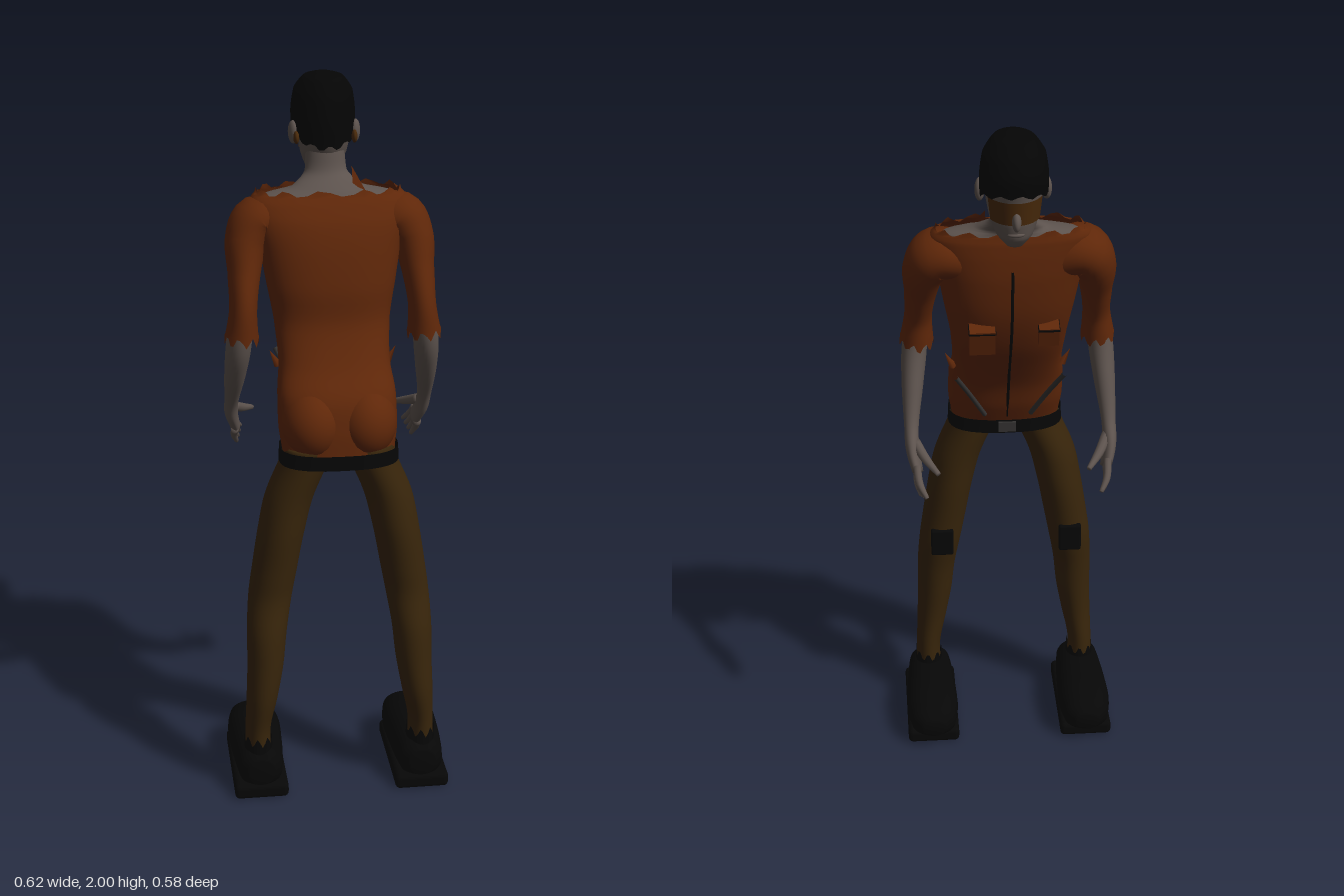
import * as THREE from 'three';
import { RoundedBoxGeometry } from 'three/addons/geometries/RoundedBoxGeometry.js';

const V = (x, y, z) => new THREE.Vector3(x, y, z);
const mat = (name, color, side = THREE.FrontSide) => {
  const m = new THREE.MeshStandardMaterial({ color, side });
  m.name = name;
  return m;
};

// Smooth skin through stations [x, y, z, ra, rb].
// flat: level rings (ra along x, rb along z); otherwise rings square to the path, ra along ref.
// power: squareness of the rings; jag: ragged last ring; open: no end caps.
function loft(stations, { flat = false, ref = V(0, 0, 1), sides = 32, steps = 5, power = 2, jag = 0, open = false } = {}) {
  const centre = new THREE.CatmullRomCurve3(stations.map(s => V(s[0], s[1], s[2])));
  const radii = new THREE.CatmullRomCurve3(stations.map(s => V(s[3], s[4], 0)));
  const rows = (stations.length - 1) * steps;
  const pos = [], idx = [];
  for (let i = 0; i <= rows; i++) {
    const u = i / rows, c = centre.getPoint(u), r = radii.getPoint(u);
    const t = flat ? V(0, Math.sign(stations.at(-1)[1] - stations[0][1]), 0) : centre.getTangent(u);
    const a = flat ? V(1, 0, 0) : ref.clone().addScaledVector(t, -ref.dot(t)).normalize();
    const b = a.clone().cross(t);
    for (let j = 0; j < sides; j++) {
      const w = j / sides * Math.PI * 2, cs = Math.cos(w), sn = Math.sin(w);
      const p = c.clone()
        .addScaledVector(a, r.x * Math.sign(cs) * Math.abs(cs) ** (2 / power))
        .addScaledVector(b, r.y * Math.sign(sn) * Math.abs(sn) ** (2 / power));
      if (i === rows && jag) p.addScaledVector(t, jag * Math.sin(j * 1.6));
      pos.push(p.x, p.y, p.z);
    }
  }
  for (let i = 0; i < rows; i++) for (let j = 0; j < sides; j++) {
    const k = (j + 1) % sides, p = i * sides, q = p + sides;
    idx.push(p + j, q + j, p + k, p + k, q + j, q + k);
  }
  if (!open) {
    for (const [s, start] of [[stations[0], 0], [stations.at(-1), rows * sides]]) {
      const m = pos.length / 3;
      pos.push(s[0], s[1], s[2]);
      for (let j = 0; j < sides; j++) {
        const k = (j + 1) % sides;
        if (start) idx.push(m, start + k, start + j);
        else idx.push(m, j, k);
      }
    }
  }
  const g = new THREE.BufferGeometry();
  g.setAttribute('position', new THREE.Float32BufferAttribute(pos, 3));
  g.setIndex(idx);
  g.computeVertexNormals();
  return g;
}

export function createModel() {
  const root = new THREE.Group();
  const skin = mat('skin', 0x5c524d);
  const shirt = mat('rust cloth', 0x5f2709, THREE.DoubleSide);
  const cloth = mat('brown cloth', 0x38250b);
  const hairMat = mat('black hair', 0x050505, THREE.DoubleSide);
  const black = mat('black leather', 0x070707, THREE.DoubleSide);
  const maskMat = mat('ochre mask', 0x48290a, THREE.DoubleSide);
  const metal = mat('dull metal', 0x343231);

  const add = (name, geo, m, p = [0, 0, 0], r = [0, 0, 0], s = [1, 1, 1]) => {
    const mesh = new THREE.Mesh(geo, m);
    mesh.name = name;
    mesh.position.set(...p);
    mesh.rotation.set(...r);
    mesh.scale.set(...s);
    root.add(mesh);
  };
  const ball = new THREE.SphereGeometry(1, 32, 20);
  const tube = (points, radius) => new THREE.TubeGeometry(
    new THREE.CatmullRomCurve3(points.map(p => V(...p))), 16, radius, 8);

  // Leaning torso with a ragged wide neckline
  add('shirt', loft([
    [0, 1.035, 0.172, 0.155, 0.094], [0, 1.1, 0.155, 0.163, 0.106], [0, 1.18, 0.13, 0.162, 0.11],
    [0, 1.26, 0.075, 0.153, 0.1], [0, 1.36, 0.022, 0.16, 0.103], [0, 1.46, 0, 0.178, 0.117],
    [0, 1.56, -0.018, 0.195, 0.115], [0, 1.63, -0.032, 0.212, 0.103], [0, 1.675, -0.047, 0.217, 0.085],
    [0, 1.7, -0.057, 0.198, 0.069]], { flat: true, sides: 48, power: 2.4, jag: 0.01, open: true }), shirt);
  for (const s of [-1, 1])
    add('buttock', ball, shirt, [s * 0.073, 1.108, 0.178], [0.3, 0, 0], [0.086, 0.1, 0.104]);
  add('belt', loft([[0, 1.045, 0.175, 0.163, 0.105], [0, 1.003, 0.175, 0.165, 0.104]],
    { flat: true, power: 2.6, open: true }), black);
  add('buckle', new THREE.BoxGeometry(0.05, 0.03, 0.012), metal, [0, 1.025, 0.07]);

  // Bare shoulders and neck
  add('neck', loft([
    [0, 1.62, -0.035, 0.19, 0.085], [0, 1.685, -0.056, 0.188, 0.065], [0, 1.705, -0.068, 0.1, 0.052],
    [0, 1.74, -0.108, 0.058, 0.044], [0, 1.79, -0.125, 0.054, 0.048], [0, 1.85, -0.135, 0.05, 0.05]],
    { flat: true }), skin);
  const flap = new THREE.BufferGeometry().setFromPoints([V(0.068, 1.755, -0.08), V(0.104, 1.69, -0.02), V(0.066, 1.69, -0.03)]);
  flap.computeVertexNormals();
  add('collarFlap', flap, shirt);

  // Chest fastening and pockets
  add('fastening', tube([[0, 1.6, -0.134], [0, 1.54, -0.134], [0, 1.44, -0.116], [0, 1.34, -0.071],
    [0, 1.25, -0.018], [0, 1.15, 0.03], [0, 1.06, 0.07]], 0.004), black);
  for (const [x, y, z, w, h] of [[0.08, 1.39, -0.1, 0.07, 0.08], [-0.1, 1.4, -0.095, 0.055, 0.06]]) {
    add('pocket', new THREE.BoxGeometry(w, h, 0.04), shirt, [x, y, z], [-0.3, 0, 0]);
    add('pocketEdge', new THREE.BoxGeometry(w + 0.004, 0.005, 0.044), black, [x, y + h * 0.4, z - 0.008], [-0.3, 0, 0]);
  }

  // Head
  add('head', loft([
    [0, 1.71, -0.2, 0.022, 0.022], [0, 1.738, -0.185, 0.048, 0.058], [0, 1.78, -0.168, 0.064, 0.084],
    [0, 1.83, -0.16, 0.073, 0.097], [0, 1.89, -0.162, 0.078, 0.107], [0, 1.95, -0.16, 0.06, 0.08]],
    { flat: true }), skin);
  add('nose', ball, skin, [0, 1.795, -0.256], [0.4, 0, 0], [0.012, 0.027, 0.02]);
  add('lips', ball, skin, [0, 1.752, -0.238], [0, 0, 0], [0.023, 0.008, 0.012]);
  add('mask', new THREE.CylinderGeometry(1.02, 0.92, 0.064, 24, 1, true, Math.PI - 1.1, 2.2), maskMat,
    [0, 1.815, -0.163], [0, 0, 0], [0.077, 1, 0.101]);
  const hair = loft([
    [0, 2, -0.16, 0.02, 0.025], [0, 1.988, -0.162, 0.055, 0.07], [0, 1.95, -0.167, 0.081, 0.107],
    [0, 1.89, -0.17, 0.089, 0.121], [0, 1.838, -0.166, 0.088, 0.114]],
    { flat: true, sides: 40, jag: 0.006 });
  // Leave off the lower cap, raise the fringe above the nape and narrow the back
  hair.setIndex(Array.from(hair.index.array).slice(0, -40 * 3));
  const hp = hair.attributes.position;
  for (let i = 0; i < hp.count; i++) {
    const y = hp.getY(i), f = -hp.getZ(i) - 0.165;
    hp.setY(i, y + f * 0.25 * Math.max(0, (2 - y) / 0.16));
    hp.setX(i, hp.getX(i) * (1 + 1.2 * Math.min(0, f)));
  }
  hair.computeVertexNormals();
  add('hair', hair, hairMat);

  for (const s of [-1, 1]) {
    add('ear', ball, skin, [s * 0.086, 1.84, -0.14], [0, s * -0.3, 0], [0.013, 0.032, 0.02]);
    add('earPatch', ball, maskMat, [s * 0.08, 1.83, -0.112], [0, 0, 0], [0.008, 0.018, 0.016]);
    add('waistTab', new THREE.ConeGeometry(0.012, 0.05, 4), shirt, [s * 0.163, 1.255, 0.05], [0, 0, s * -0.5]);
    add('hangingRod', tube([[s * 0.15, 1.25, -0.05], [s * 0.11, 1.17, 0], [s * 0.065, 1.08, 0.045]], 0.007), metal);

    // Arm: torn sleeve, forearm, palm, fingers
    add('sleeve', loft([
      [s * 0.13, 1.61, -0.042, 0.075, 0.062], [s * 0.195, 1.62, -0.042, 0.084, 0.069],
      [s * 0.227, 1.575, -0.022, 0.076, 0.06], [s * 0.239, 1.49, 0.018, 0.062, 0.045],
      [s * 0.246, 1.4, 0.055, 0.058, 0.038], [s * 0.252, 1.315, 0.062, 0.056, 0.047]],
      { jag: 0.014, open: true }), shirt);
    add('forearm', loft([
      [s * 0.248, 1.4, 0.06, 0.04, 0.033], [s * 0.26, 1.29, 0.048, 0.043, 0.035],
      [s * 0.268, 1.2, 0.01, 0.037, 0.03], [s * 0.275, 1.1, -0.05, 0.024, 0.02],
      [s * 0.274, 1.05, -0.087, 0.034, 0.019], [s * 0.262, 1.0, -0.125, 0.035, 0.015]]), skin);
    for (let i = 0; i < 4; i++) {
      const k = i / 3;
      add('finger', loft([
        [s * 0.264, 1.025 - 0.03 * k, -0.14 + 0.05 * k, 0.011, 0.011],
        [s * (0.258 + 0.006 * k), 0.99 - 0.025 * k, -0.18 + 0.055 * k, 0.01, 0.01],
        [s * (0.24 + 0.015 * k), 0.962 - 0.025 * k, -0.208 + 0.06 * k, 0.006, 0.006]], { sides: 10 }), skin);
    }
    add('thumb', loft([
      [s * 0.267, 1.07, -0.08, 0.015, 0.015], [s * 0.24, 1.045, -0.135, 0.013, 0.013],
      [s * 0.207, 1.025, -0.187, 0.007, 0.007]], { sides: 10, ref: V(0, 1, 0) }), skin);

    // Leg
    add('trouserLeg', loft([
      [s * 0.08, 1.05, 0.175, 0.072, 0.086], [s * 0.096, 1.0, 0.175, 0.067, 0.088],
      [s * 0.137, 0.9, 0.175, 0.067, 0.086], [s * 0.16, 0.8, 0.177, 0.065, 0.085],
      [s * 0.181, 0.68, 0.178, 0.063, 0.075], [s * 0.194, 0.6, 0.18, 0.061, 0.07],
      [s * 0.206, 0.5, 0.2, 0.056, 0.07], [s * 0.212, 0.4, 0.21, 0.051, 0.067],
      [s * 0.223, 0.3, 0.215, 0.044, 0.063], [s * 0.235, 0.2, 0.207, 0.036, 0.055],
      [s * 0.235, 0.12, 0.205, 0.036, 0.052]], { flat: true }), cloth);
    add('kneePad', new RoundedBoxGeometry(0.066, 0.085, 0.022, 2, 0.006), black, [s * 0.19, 0.62, 0.108]);

    // Shoe
    add('ankleCuff', loft([[s * 0.235, 0.1, 0.207, 0.042, 0.062], [s * 0.235, 0.17, 0.207, 0.039, 0.059]],
      { flat: true, jag: 0.014, open: true }), black);
    add('shoeUpper', loft([
      [s * 0.232, 0.085, 0.283, 0.035, 0.038], [s * 0.232, 0.085, 0.25, 0.062, 0.06],
      [s * 0.232, 0.084, 0.15, 0.072, 0.067], [s * 0.232, 0.083, 0.03, 0.077, 0.066],
      [s * 0.232, 0.082, -0.055, 0.066, 0.053], [s * 0.232, 0.08, -0.093, 0.032, 0.026]],
      { ref: V(1, 0, 0), power: 2.3 }), black);
    add('sole', new RoundedBoxGeometry(0.154, 0.044, 0.342, 3, 0.014), black, [s * 0.232, 0.024, 0.115]);
  }
  return root;
}
